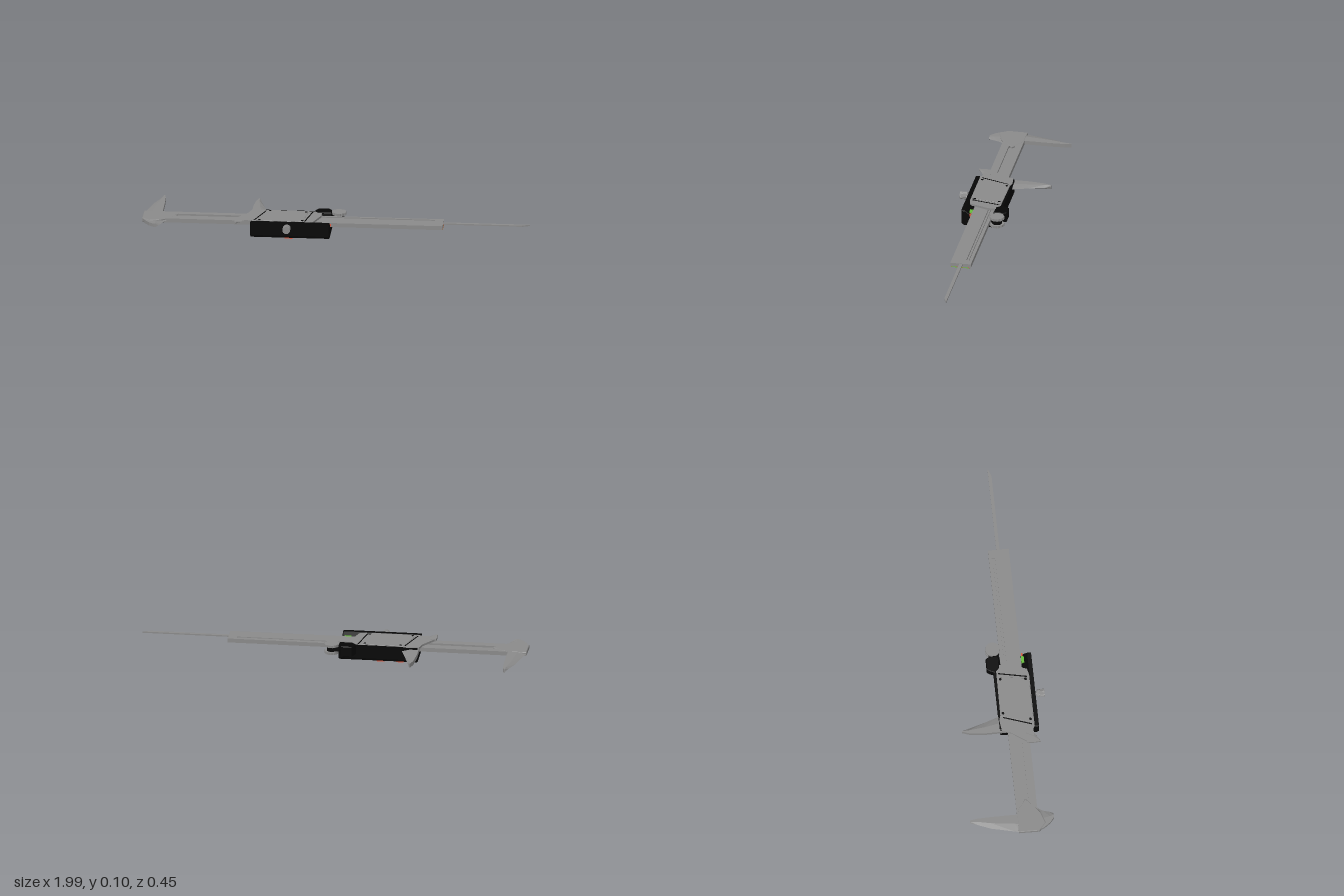
import * as THREE from 'three';

const mat = (name, color) => {
  const m = new THREE.MeshStandardMaterial({ color });
  m.name = name;
  return m;
};

export function createModel() {
  const steel = mat('steel', 0x8a8a8a);
  const black = mat('black plastic', 0x060606);
  const red = mat('red scale', 0xcc4530);
  const orange = mat('orange button', 0xd8573e);
  const green = mat('circuit green', 0x68bc3c);
  const screen = mat('display green', 0x8cb074);
  const root = new THREE.Group();

  const add = (name, geo, material, x = 0, y = 0, z = 0) => {
    const m = new THREE.Mesh(geo, material);
    m.name = name;
    m.position.set(x, y, z);
    root.add(m);
  };
  // box given by its limits
  const box = (name, material, x0, x1, y0, y1, z0, z1) =>
    add(name, new THREE.BoxGeometry(x1 - x0, y1 - y0, z1 - z0), material,
      (x0 + x1) / 2, (y0 + y1) / 2, (z0 + z1) / 2);
  // flat plate from an outline of [x, z] points, between two heights
  const plate = (name, material, pts, y0, y1, holes = [], bevel = 0) => {
    const v = (a) => a.map(([x, z]) => new THREE.Vector2(x, -z));
    const s = new THREE.Shape(v(pts));
    holes.forEach((h) => s.holes.push(new THREE.Path(v(h))));
    const g = new THREE.ExtrudeGeometry(s, {
      depth: y1 - y0 - 2 * bevel, bevelEnabled: bevel > 0,
      bevelSize: bevel, bevelOffset: -bevel, bevelThickness: bevel, bevelSegments: 1,
    });
    g.rotateX(-Math.PI / 2);
    add(name, g, material, 0, y0 + bevel, 0);
  };
  // jaw blade lofted through stations [z, xFlat, xEdge], thinned to the xEdge side
  const blade = (name, stations, y0, y1) => {
    const mid = (y0 + y1) / 2;
    const pos = [], idx = [], n = 5;
    stations.forEach(([z, a, b]) => {
      const r = a + (b - a) * 0.55;
      pos.push(a, y0, z, a, y1, z, r, y1, z, b, mid, z, r, y0, z);
    });
    const flip = (stations[0][2] > stations[0][1]) !== (stations.at(-1)[0] > stations[0][0]);
    const tri = (p, q, r) => (flip ? idx.push(p, r, q) : idx.push(p, q, r));
    for (let i = 0; i < stations.length - 1; i++) {
      for (let j = 0; j < n; j++) {
        const p = i * n + j, q = i * n + (j + 1) % n;
        tri(p, q, p + n);
        tri(q, q + n, p + n);
      }
    }
    const e = (stations.length - 1) * n;
    for (let j = 1; j < n - 1; j++) {
      tri(0, j + 1, j);
      tri(e, e + j, e + j + 1);
    }
    let g = new THREE.BufferGeometry();
    g.setAttribute('position', new THREE.Float32BufferAttribute(pos, 3));
    g.setIndex(idx);
    g = g.toNonIndexed();
    g.computeVertexNormals();
    add(name, g, steel);
  };
  steel.side = THREE.DoubleSide;

  // Beam: solid base, slotted upper layer and red scale strip with green ends
  box('beamBase', steel, -0.93, 0.545, 0.0605, 0.073, 0.018, 0.125);
  plate('beamTop', steel, [[-0.93, 0.018], [0.545, 0.018], [0.545, 0.125], [-0.93, 0.125]], 0.073, 0.082, [
    [[-0.87, 0.067], [-0.82, 0.05], [-0.2, 0.05], [-0.2, 0.085], [-0.82, 0.085]],
    [[-0.1, 0.032], [0.5, 0.032], [0.5, 0.05], [-0.1, 0.05]],
  ]);
  box('scaleStrip', [green, green, red, red, red, red], -0.95, 0.546, 0.059, 0.0625, 0.026, 0.12);

  // Gear rack in the narrow slot
  box('rack', steel, -0.1, 0.498, 0.073, 0.079, 0.038, 0.048);

  // Depth rod with a slanted tip
  plate('depthRod', steel, [[-0.45, 0.061], [0.99, 0.061], [0.95, 0.078], [-0.45, 0.078]], 0.074, 0.081);

  // Fixed jaws
  plate('fixedJawBase', steel, [
    [-0.998, 0.018], [-0.9, 0.018], [-0.87, 0.03], [-0.82, 0.068], [-0.85, 0.1],
    [-0.9, 0.14], [-0.93, 0.15], [-0.96, 0.16], [-1, 0.125],
  ], 0.0605, 0.083, [], 0.003);
  blade('fixedLongJaw', [
    [0.03, -0.902, -0.998], [0.0, -0.902, -0.99], [-0.12, -0.902, -0.962],
    [-0.19, -0.904, -0.934], [-0.225, -0.91, -0.922],
  ], 0.062, 0.082);
  blade('fixedShortJaw', [
    [0.11, -1.0, -0.86], [0.15, -0.985, -0.89], [0.185, -0.96, -0.9], [0.205, -0.935, -0.91],
  ], 0.063, 0.08);

  // Moving jaws
  blade('movingLongJaw', [
    [0.01, -0.446, -0.355], [-0.03, -0.446, -0.362], [-0.1, -0.446, -0.385],
    [-0.18, -0.437, -0.408], [-0.215, -0.425, -0.418],
  ], 0.062, 0.084);
  blade('movingShortJaw', [
    [0.11, -0.52, -0.43], [0.145, -0.522, -0.46], [0.18, -0.52, -0.514],
  ], 0.083, 0.094);

  // Slider cover plates with diagonal seams
  plate('sliderPlate', steel, [
    [-0.52, 0.122], [-0.46, 0.035], [-0.446, -0.012], [-0.385, -0.02], [-0.36, -0.012], [-0.085, -0.008],
    [-0.085, 0.05], [-0.12, 0.15], [-0.17, 0.162], [-0.43, 0.162], [-0.445, 0.15], [-0.52, 0.15],
  ], 0.083, 0.0935);
  plate('raisedCover', steel, [
    [-0.365, -0.01], [-0.15, -0.008], [-0.175, 0.155], [-0.415, 0.155],
  ], 0.0935, 0.096, [], 0.001);
  [[-0.135, -0.165], [-0.375, -0.425]].forEach(([a, b]) =>
    plate('coverSeam', black, [[a, 0], [a + 0.006, 0], [b + 0.006, 0.145], [b, 0.145]], 0.0925, 0.0945));
  [[-0.35, 0.003], [-0.175, 0.137], [-0.395, 0.14], [-0.165, 0.008]].forEach(([x, z]) =>
    add('coverScrew', new THREE.CylinderGeometry(0.007, 0.007, 0.003, 12), black, x, 0.095, z));

  // Display housing: U-shaped section wrapped round the beam
  const section = [
    [0.18, 0.095], [0.18, 0.025], [0.175, 0.015], [0.165, 0.01], [-0.008, 0.01], [-0.018, 0.015],
    [-0.022, 0.025], [-0.022, 0.092], [0.012, 0.092], [0.016, 0.056], [0.127, 0.056],
    [0.133, 0.075], [0.16, 0.095],
  ].map(([z, y]) => new THREE.Vector2(-z, y));
  const housing = new THREE.ExtrudeGeometry(new THREE.Shape(section), {
    depth: 0.396, bevelEnabled: true, bevelSize: 0.005, bevelOffset: -0.005,
    bevelThickness: 0.006, bevelSegments: 2,
  });
  housing.rotateY(Math.PI / 2);
  add('housing', housing, black, -0.434, 0, 0);

  // Circuit board corner and red contact showing at the open end
  box('circuitBoard', green, -0.08, -0.045, 0.07, 0.081, 0.126, 0.141);
  box('contact', orange, -0.042, -0.027, 0.066, 0.077, 0.128, 0.136);

  // Thumb grip beside the wheel
  plate('thumbGrip', black, [
    [-0.125, -0.015], [-0.115, -0.038], [-0.105, -0.055], [-0.048, -0.055], [-0.038, -0.04], [-0.035, 0.01], [-0.1, 0.01],
  ], 0.042, 0.096, [], 0.003);

  // Display window and buttons on the underside
  box('display', screen, -0.4, -0.14, 0.009, 0.012, 0.045, 0.117);
  [[-0.345, 0.012], [-0.245, 0.012], [-0.245, 0.146]].forEach(([x, z]) =>
    box('button', orange, x - 0.02, x + 0.02, 0, 0.013, z - 0.006, z + 0.006));

  // Knurled cylinder: alternating radii around the rim
  const knurled = (r, h, teeth) => {
    const s = new THREE.Shape();
    for (let i = 0; i < teeth * 2; i++) {
      const a = (i / (teeth * 2)) * Math.PI * 2, q = i % 2 ? r : r * 0.94;
      s[i ? 'lineTo' : 'moveTo'](q * Math.cos(a), q * Math.sin(a));
    }
    s.closePath();
    return new THREE.ExtrudeGeometry(s, { depth: h, bevelEnabled: false });
  };

  // Thumb wheel: two knurled discs on a dark hub
  [0.045, 0.083].forEach((y) =>
    add('thumbWheelDisc', knurled(0.038, 0.013, 30).rotateX(-Math.PI / 2), steel, 0.003, y, -0.014));
  add('thumbWheelHub', new THREE.CylinderGeometry(0.026, 0.026, 0.03, 24), black, 0.003, 0.07, -0.014);
  box('wheelBracket', black, -0.06, 0.012, 0.061, 0.08, -0.038, 0.016);

  // Locking screw on the front
  add('lockScrew', knurled(0.02, 0.04, 22), steel, -0.25, 0.071, 0.187);
  add('lockScrewNeck', new THREE.CylinderGeometry(0.01, 0.01, 0.02, 16).rotateX(Math.PI / 2), steel, -0.25, 0.071, 0.178);

  return root;
}
